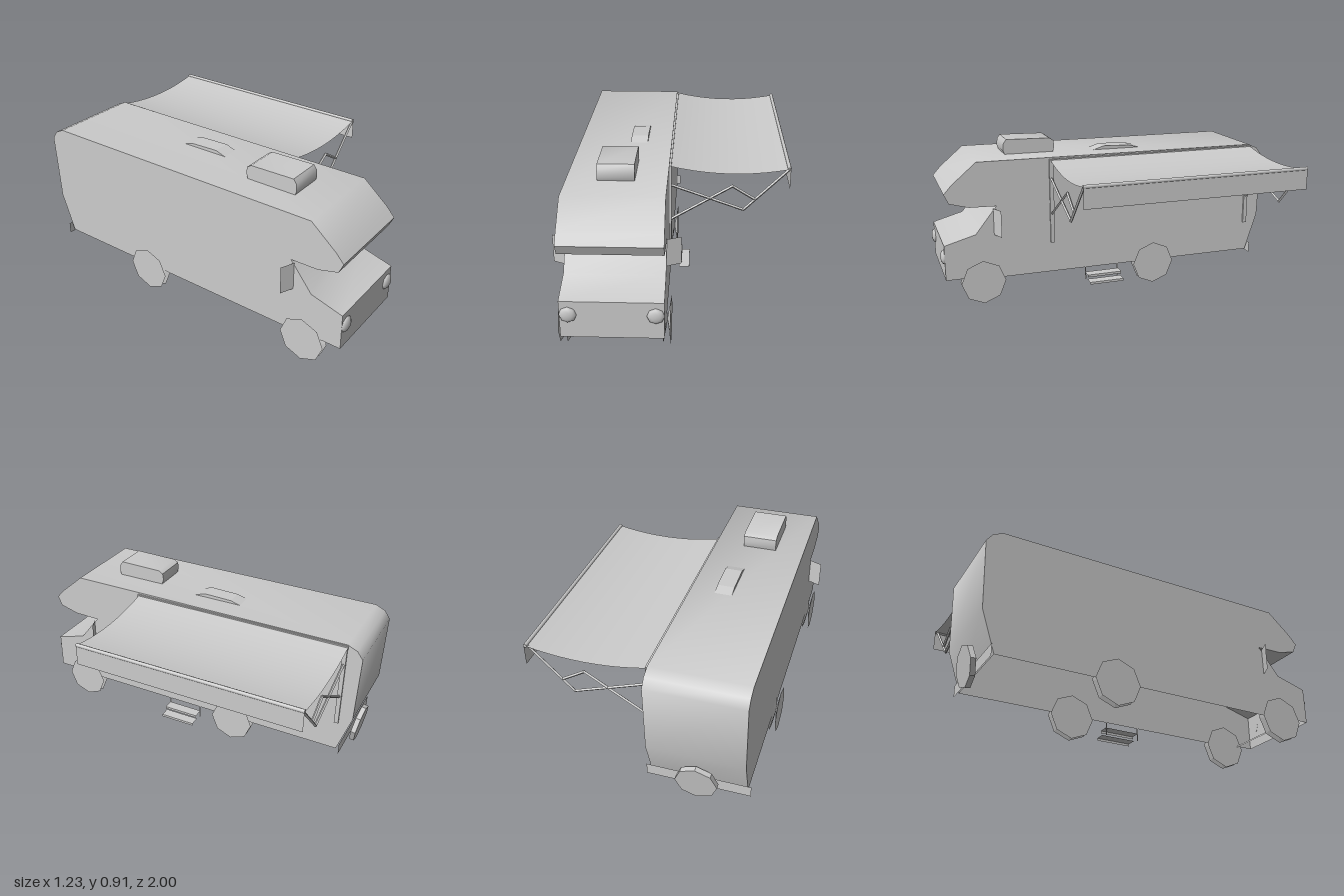
import * as THREE from 'three';
import { toCreasedNormals } from 'three/addons/utils/BufferGeometryUtils.js';

const smooth = new THREE.MeshStandardMaterial({ color: 0xcccccc });
const flat = new THREE.MeshStandardMaterial({ color: 0xcccccc, flatShading: true });
const sheet = new THREE.MeshStandardMaterial({ color: 0xcccccc, side: THREE.DoubleSide });

const RIGHT = -0.545, LEFT = -0.03, MID = (RIGHT + LEFT) / 2; // body sides
const Z_FRONT = 0.36, Z_BACK = -0.915; // awning ends

// side profile of [z, y] points drawn across from x0 to x1
function slab(points, x0, x1) {
  const shape = new THREE.Shape(points.map(([z, y]) => new THREE.Vector2(z, y)));
  const geometry = new THREE.ExtrudeGeometry(shape, { depth: x1 - x0, bevelEnabled: false });
  geometry.rotateY(-Math.PI / 2).translate(x1, 0, 0);
  return toCreasedNormals(geometry, 0.8);
}

// drop the downward triangles lying below a height, leaving the shell open underneath
function openBelow(geometry, height) {
  const p = geometry.attributes.position, kept = [];
  const t = new THREE.Triangle(), n = new THREE.Vector3();
  for (let i = 0; i < p.count; i += 3) {
    t.setFromAttributeAndIndices(p, i, i + 1, i + 2);
    t.getNormal(n);
    if (n.y > -0.9 || Math.max(t.a.y, t.b.y, t.c.y) > height) kept.push(i, i + 1, i + 2);
  }
  geometry.setIndex(kept);
  return geometry;
}

export function createModel() {
  const model = new THREE.Group();

  function add(name, geometry, material = flat, x = 0, y = 0, z = 0) {
    const mesh = new THREE.Mesh(geometry, material);
    mesh.name = name;
    mesh.position.set(x, y, z);
    model.add(mesh);
    return mesh;
  }

  // box given by its limits on each axis
  function box(name, x0, x1, y0, y1, z0, z1) {
    add(name, new THREE.BoxGeometry(x1 - x0, y1 - y0, z1 - z0), flat,
      (x0 + x1) / 2, (y0 + y1) / 2, (z0 + z1) / 2);
  }

  // four-sided rod between two [x, y] points at depth z
  function rod(name, [ax, ay], [bx, by], z) {
    const geometry = new THREE.CylinderGeometry(0.008, 0.008, Math.hypot(bx - ax, by - ay), 4);
    const mesh = add(name, geometry, flat, (ax + bx) / 2, (ay + by) / 2, z);
    mesh.rotation.z = Math.atan2(by - ay, bx - ax) - Math.PI / 2;
  }

  // thin plate facing sideways, given by its limits in y and z
  function sidePlate(name, x, y0, y1, z0, z1) {
    const geometry = new THREE.PlaneGeometry(z1 - z0, y1 - y0).rotateY(Math.PI / 2);
    add(name, geometry, sheet, x, (y0 + y1) / 2, (z0 + z1) / 2);
  }

  // Body shell with sleeping alcove over the cab, open underneath
  add('body', openBelow(slab([
    [0.98, 0.16], [0.98, 0.365], [0.8, 0.415], [0.69, 0.555], [0.675, 0.571],
    [0.83, 0.575], [0.94, 0.605], [0.965, 0.66], [0.92, 0.71], [0.78, 0.83],
    [-0.91, 0.825], [-0.965, 0.8], [-0.998, 0.755], [-0.988, 0.37],
    [-0.915, 0.145], [0.86, 0.145], [0.87, 0.16],
  ], RIGHT, LEFT), 0.2), sheet);

  // Roof parts
  const unit = slab([
    [0.585, 0.825], [0.595, 0.85], [0.593, 0.89], [0.575, 0.915], [0.32, 0.91],
    [0.295, 0.895], [0.29, 0.86], [0.3, 0.825],
  ], -0.385, -0.195);
  add('airConditioner', unit, smooth);
  add('roofVent', slab([[0.065, 0.825], [-0.005, 0.848], [-0.17, 0.843], [-0.235, 0.825]], -0.26, -0.165));

  // Wheels: two octagonal discs meeting in the hub
  const h = 0.019, R = 0.128;
  const wheelShape = [[0, -h], [R, -h], [0.01, 0], [R, h], [0, h]].map(p => new THREE.Vector2(...p));
  const wheelGeometry = new THREE.LatheGeometry(wheelShape, 8).rotateZ(Math.PI / 2);
  for (const [end, z] of [['front', 0.77], ['rear', -0.27]]) {
    add(end + 'RightWheel', wheelGeometry, flat, -0.554, 0.134, z);
    add(end + 'LeftWheel', wheelGeometry, flat, -0.025, 0.134, z);
  }

  // Rear bumper plate, and spare wheel leaning with the lower rear wall
  add('rearBumper', new THREE.PlaneGeometry(0.555, 0.065), sheet, MID, 0.158, -0.935);
  const spareGeometry = new THREE.CylinderGeometry(0.112, 0.112, 0.028, 8).rotateX(Math.PI / 2);
  add('spareWheel', spareGeometry, flat, MID, 0.178, -0.966).rotation.x = -0.15;

  // Headlights and swept-back mirror plates on both sides
  for (const s of [-1, 1]) {
    const dome = new THREE.SphereGeometry(0.045, 8, 3, 0, Math.PI * 2, 0, Math.PI / 2);
    dome.rotateX(Math.PI / 2).scale(1, 1, 0.45);
    add('headlight', dome, smooth, MID + s * 0.215, 0.29, 0.979);
    const mirror = add('mirror', new THREE.PlaneGeometry(0.079, 0.155), sheet, MID + s * 0.293, 0.481, 0.68);
    mirror.rotation.y = s * 0.41;
  }

  // Folding entry step: treads with lips, hung from two straps
  for (const [x, y] of [[0, 0.115], [0.045, 0.085]]) {
    add('tread', new THREE.PlaneGeometry(0.06, 0.21).rotateX(-Math.PI / 2), sheet, x, y, 0.055);
    sidePlate('treadLip', x + 0.03, y - 0.014, y, -0.05, 0.16);
  }
  for (const z of [-0.05, 0.152]) sidePlate('stepStrap', LEFT, 0.071, 0.145, z, z + 0.008);

  // Awning cloth, sagging between the wall and the outer tube
  const cloth = new THREE.PlaneGeometry(0.64, Z_FRONT - Z_BACK, 10, 1).rotateX(-Math.PI / 2);
  const p = cloth.attributes.position;
  for (let i = 0; i < p.count; i++) {
    const t = p.getX(i) / 0.64 + 0.5;
    p.setY(i, 0.815 - 0.01 * t - 0.14 * t * (1 - t));
  }
  cloth.computeVertexNormals();
  const zMid = (Z_FRONT + Z_BACK) / 2;
  add('awningCloth', cloth, sheet, 0.29, 0, zMid);
  sidePlate('awningValance', 0.612, 0.69, 0.805, Z_BACK, Z_FRONT);
  const tube = new THREE.CylinderGeometry(0.01, 0.01, Z_FRONT - Z_BACK, 8).rotateX(Math.PI / 2);
  add('awningTube', tube, smooth, 0.605, 0.805, zMid);
  box('awningWallRail', LEFT, -0.02, 0.803, 0.82, Z_BACK, 0.365);

  // Scissor arms and wall posts at both ends of the awning
  for (const z of [0.355, -0.9]) {
    box('awningPost', LEFT, -0.02, 0.325, 0.81, z - 0.012, z + 0.012);
    rod('mainArm', [-0.025, 0.706], [0.37, 0.563], z);
    rod('outerArm', [0.365, 0.56], [0.608, 0.808], z);
    rod('supportArm', [-0.025, 0.5], [0.31, 0.705], z);
    rod('linkArm', [0.305, 0.703], [0.43, 0.625], z);
  }

  return model;
}
